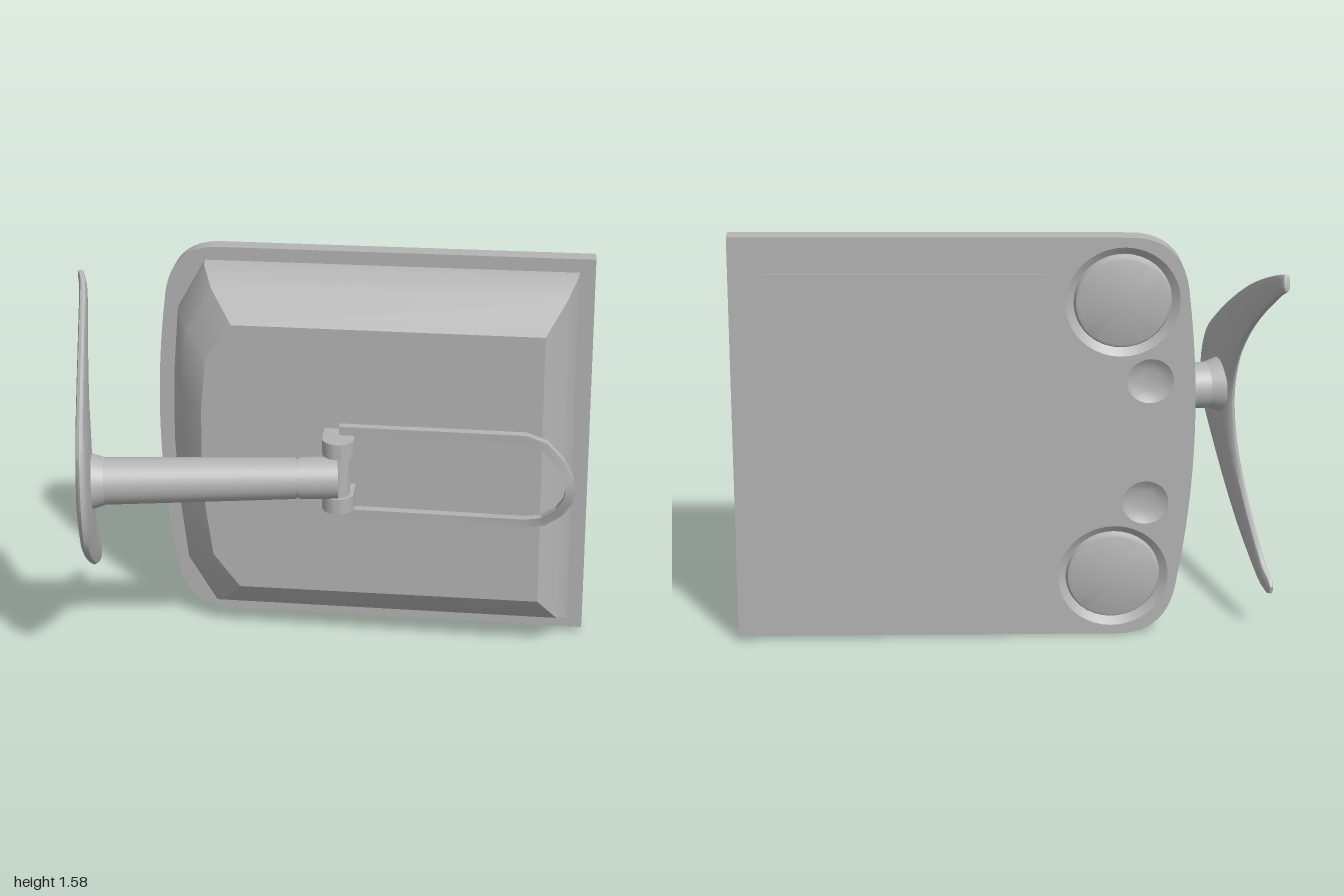
import * as THREE from 'three';
import { toCreasedNormals } from 'three/addons/utils/BufferGeometryUtils.js';

const grey = new THREE.MeshStandardMaterial({ color: 0xb4b4b4 });
grey.name = 'grey plastic';
grey.side = THREE.DoubleSide;

function add(parent, name, geometry, x = 0, y = 0, z = 0) {
  const mesh = new THREE.Mesh(geometry, grey);
  mesh.name = name;
  mesh.position.set(x, y, z);
  parent.add(mesh);
  return mesh;
}

// Skin a list of equal-length rings (counter-clockwise about the travel direction), capped at both ends
function loft(rings, crease = 0.5) {
  const n = rings[0].length, index = [];
  for (let i = 0; i < rings.length - 1; i++) {
    for (let j = 0; j < n; j++) {
      const a = i * n + j, b = i * n + (j + 1) % n;
      index.push(a, b, b + n, a, b + n, a + n);
    }
  }
  const last = (rings.length - 1) * n;
  for (let j = 1; j < n - 1; j++) {
    index.push(0, j + 1, j, last, last + j, last + j + 1);
  }
  const g = new THREE.BufferGeometry();
  g.setAttribute('position', new THREE.Float32BufferAttribute(rings.flat(2), 3));
  g.setIndex(index);
  return toCreasedNormals(g, crease);
}

// Panel outline: square right corners, bowed left edge with rounded corners
function panelShape() {
  const s = new THREE.Shape();
  s.moveTo(0.987, -0.781);
  s.lineTo(0.987, 0.781);
  s.lineTo(-0.43, 0.781);
  s.quadraticCurveTo(-0.625, 0.781, -0.648, 0.56);
  s.quadraticCurveTo(-0.732, 0, -0.648, -0.56);
  s.quadraticCurveTo(-0.625, -0.781, -0.43, -0.781);
  s.closePath();
  return s;
}

const slab = (shape, depth) =>
  toCreasedNormals(new THREE.ExtrudeGeometry(shape, { depth, bevelEnabled: false, curveSegments: 20 }), 0.5);

// Lathe turned so that its axis points out of the back (-z)
function backLathe(points) {
  const g = new THREE.LatheGeometry(points.map(([r, h]) => new THREE.Vector2(r, h)), 36);
  return toCreasedNormals(g.rotateX(-Math.PI / 2), 0.4);
}

function buildPanel() {
  const panel = new THREE.Group();
  panel.name = 'panel';
  panel.position.set(0, 0.79, -0.308);
  panel.rotation.set(0, -0.037, 0.015);

  // Solid front layer and a back layer pierced for the round details
  add(panel, 'panelBody', slab(panelShape(), 0.044), 0, 0, -0.044);
  const backShape = panelShape();
  const circles = [[-0.41, 0.54, 0.205], [-0.52, 0.24, 0.085]];
  for (const side of [1, -1]) {
    for (const [x, y, r] of circles) {
      const hole = new THREE.Path();
      hole.absarc(x, side * y, r, 0, Math.PI * 2, true);
      backShape.holes.push(hole);
    }
    // Round pad in a chamfered ring, and a bowl-shaped dimple
    add(panel, 'roundPad', backLathe([[0.205, 0], [0.176, -0.019], [0.168, -0.004], [0.158, 0], [0, 0]]),
      -0.41, side * 0.54, -0.064);
    add(panel, 'dimple', backLathe([[0.085, 0], [0.065, -0.012], [0.042, -0.019], [0, -0.019]]),
      -0.52, side * 0.24, -0.064);
  }
  add(panel, 'panelBack', slab(backShape, 0.02), 0, 0, -0.064);

  // Stepped screen plates on the back
  add(panel, 'screenFrame', new THREE.BoxGeometry(1.07, 1.38, 0.003), 0.365, 0, -0.0645);
  add(panel, 'screen', new THREE.BoxGeometry(0.99, 1.29, 0.003), 0.365, 0, -0.066);

  // Sloping front housing, blended between its wide base and smaller face
  const mirror = half => [...half, ...half.slice(0, -1).reverse().map(([x, y]) => [x, -y])];
  const base = mirror([[0.93, 0.728], [-0.485, 0.728], [-0.595, 0.535], [-0.62, 0.27], [-0.63, 0]]);
  const face = mirror([[0.818, 0.553], [-0.352, 0.555], [-0.454, 0.417], [-0.478, 0.21], [-0.485, 0]]);
  const levels = [[0, 0], [0.04, 0.03], [0.14, 0.36], [0.22, 1]];
  add(panel, 'housing', loft(levels.map(([z, t]) => base.map(([x, y], i) => [
    THREE.MathUtils.lerp(x, face[i][0], t), THREE.MathUtils.lerp(y, face[i][1], t), z]))));
  return panel;
}

// Crescent foot: lens sections between an outer and an inner edge curve
function footGeometry() {
  const curve = pts => new THREE.CatmullRomCurve3(pts.map(([y, z]) => new THREE.Vector3(0, y, z)));
  const outer = curve([[-0.24, 0.13], [-0.14, 0.23], [0, 0.27], [0.14, 0.23], [0.24, 0.13], [0.475, -0.22], [0.61, -0.51], [0.63, -0.57]]);
  const inner = curve([[-0.3, -0.25], [-0.15, -0.16], [0, -0.12], [0.15, -0.16], [0.24, -0.215], [0.36, -0.32], [0.53, -0.53], [0.57, -0.585]]);
  const rings = [], steps = 18, sides = 16;
  for (let k = -steps; k <= steps; k++) {
    const s = Math.abs(k) / steps, side = k < 0 ? -1 : 1;
    const t = (2 + 5 * s) / 7;
    const o = outer.getPoint(t), i = inner.getPoint(t);
    const thick = 0.026 - 0.013 * s;
    const ring = [];
    for (let j = 0; j < sides; j++) {
      const a = j / sides * Math.PI * 2, c = Math.cos(a), sn = Math.sin(a);
      const p = i.clone().lerp(o, (c + 1) / 2);
      ring.push([-0.025 - 0.03 * s * s + thick * Math.sign(sn) * Math.abs(sn) ** 0.6, side * p.y, p.z]);
    }
    rings.push(ring);
  }
  // Rounded tips
  for (const end of [0, rings.length - 1]) {
    const ring = rings[end], m = [0, 1, 2].map(c => ring.reduce((sum, p) => sum + p[c], 0) / sides);
    const tip = ring.map(p => [m[0] + (p[0] - m[0]) * 0.5,
      m[1] + (p[1] - m[1]) * 0.5 + Math.sign(m[1]) * 0.005, m[2] + (p[2] - m[2]) * 0.5 - 0.02]);
    if (end === 0) rings.unshift(tip); else rings.push(tip);
  }
  return loft(rings, 0.7);
}

function buildStand() {
  const stand = new THREE.Group();
  stand.name = 'stand';
  stand.position.set(-0.865, 0.79, 0.15);
  stand.rotation.set(0, 0.125, 0.005);
  add(stand, 'foot', footGeometry());
  const rod = (name, r0, r1, from, to) =>
    add(stand, name, new THREE.CylinderGeometry(r1, r0, to - from, 32).rotateZ(-Math.PI / 2), (from + to) / 2);
  rod('armCollar', 0.108, 0.09, -0.01, 0.045);
  rod('arm', 0.09, 0.079, 0.02, 0.762);
  rod('armSeam', 0.073, 0.073, 0.755, 0.78);
  rod('armEnd', 0.08, 0.08, 0.772, 0.918);
  return stand;
}

function buildHinge() {
  const hinge = new THREE.Group();
  hinge.name = 'hinge';
  hinge.position.set(0.045, 0.795, 0);
  // Lugs with a rounded front, joined by a pin
  const s = new THREE.Shape();
  s.moveTo(0.06, 0.1);
  s.lineTo(-0.06, 0.1);
  s.lineTo(-0.06, 0);
  s.absarc(0, 0, 0.06, Math.PI, Math.PI * 2, false);
  s.closePath();
  const lug = slab(s, 0.062).rotateX(-Math.PI / 2);
  add(hinge, 'upperLug', lug, 0, 0.083, 0);
  add(hinge, 'lowerLug', lug, 0, -0.145, 0);
  add(hinge, 'pin', new THREE.CylinderGeometry(0.045, 0.045, 0.2, 24));
  return hinge;
}

// U-shaped bail: rectangular band whose rounded end curls forward
function buildBail() {
  const half = [[0.05, 0.172], [0.4, 0.173], [0.75, 0.174], [0.82, 0.155], [0.88, 0.1], [0.91, 0.045], [0.918, 0]];
  const path = [...half, ...half.slice(0, -1).reverse().map(([x, y]) => [x, -y])];
  const rings = path.map(([x, y], i) => {
    const a = path[Math.max(i - 1, 0)], b = path[Math.min(i + 1, path.length - 1)];
    const t = new THREE.Vector2(b[0] - a[0], b[1] - a[1]).normalize();
    const z = -0.025 + 0.05 * (x - 0.05) + 1.6 * Math.max(0, x - 0.72) ** 2;
    return [[1, -1], [1, 1], [-1, 1], [-1, -1]].map(([u, v]) =>
      [x - t.y * u * 0.017, y + t.x * u * 0.017, z + v * 0.016]);
  });
  const bail = new THREE.Group();
  bail.name = 'bail';
  bail.position.set(0, 0.794, 0);
  bail.rotation.z = 0.015;
  add(bail, 'bailBand', loft(rings, 0.3));
  return bail;
}

export function createModel() {
  const model = new THREE.Group();
  model.name = 'foldingDisplay';
  model.add(buildPanel(), buildStand(), buildHinge(), buildBail());
  return model;
}
